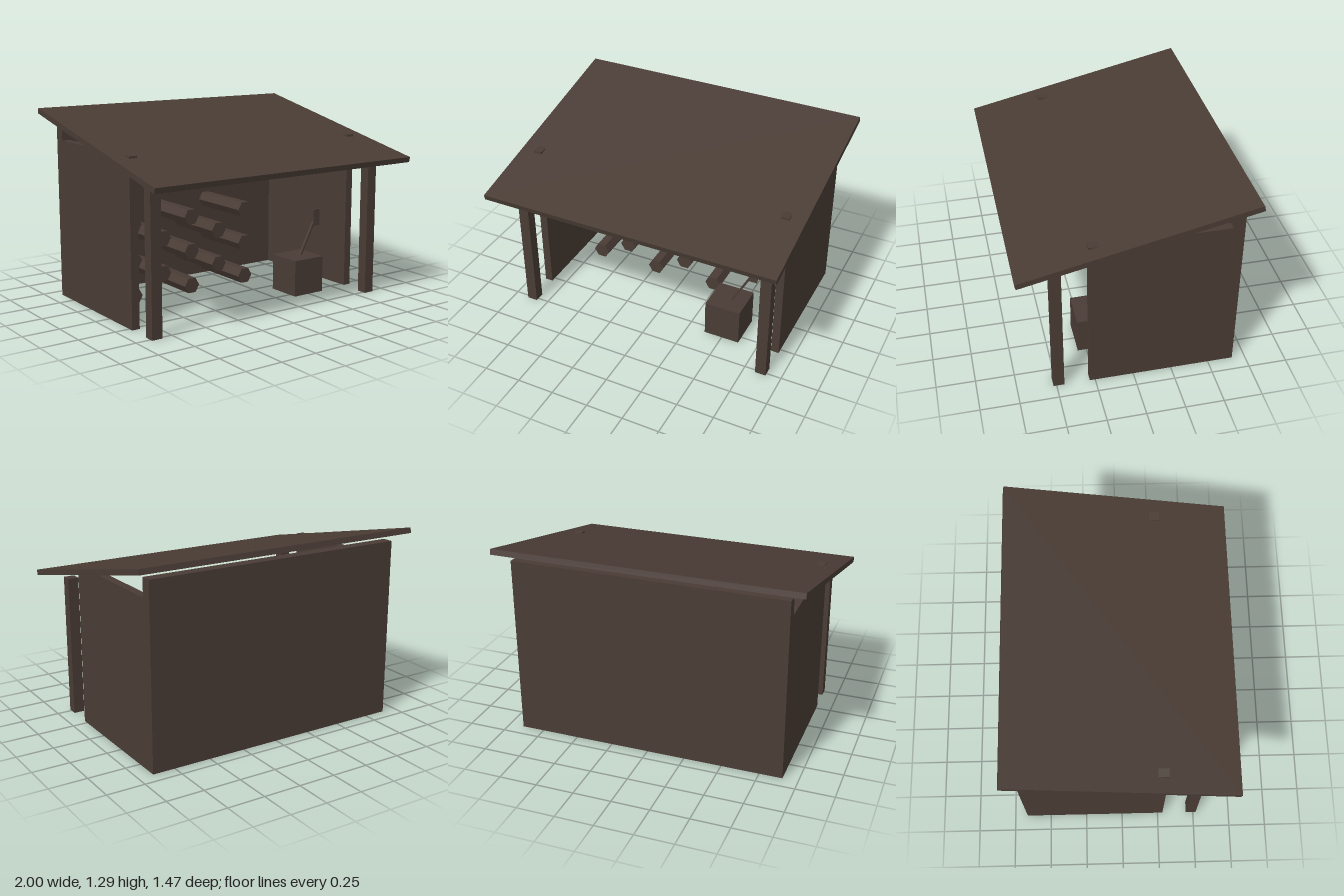
import * as THREE from 'three';

export function createModel() {
  const group = new THREE.Group();
  group.name = 'woodShed';
  const wood = new THREE.MeshStandardMaterial({ color: 0x4a3c35, flatShading: true });
  wood.name = 'dark wood';

  const add = (name, geometry, x, y, z) => {
    const mesh = new THREE.Mesh(geometry, wood);
    mesh.name = name;
    mesh.position.set(x, y, z);
    group.add(mesh);
    return mesh;
  };
  // Box given by its lower and upper corners
  const box = (name, [x0, y0, z0], [x1, y1, z1]) =>
    add(name, new THREE.BoxGeometry(x1 - x0, y1 - y0, z1 - z0),
      (x0 + x1) / 2, (y0 + y1) / 2, (z0 + z1) / 2);

  // Sloping roof, low at the front
  add('roof', new THREE.BoxGeometry(2, 0.036, 1.5), 0, 1.11, 0).rotation.x = 0.218;

  // Back wall, side walls and front posts
  box('backWall', [-0.9, 0, -0.665], [0.9, 1.2, -0.59]);
  for (const [side, s] of [['left', 1], ['right', -1]]) {
    add(side + 'Wall', new THREE.BoxGeometry(0.054, 1.08, 0.875), s * 0.873, 0.54, -0.1525);
    add(side + 'Post', new THREE.BoxGeometry(0.072, 0.95, 0.07), s * 0.864, 0.475, 0.485);
  }

  // Stacked hexagonal logs in staggered rows
  const logGeometry = new THREE.CylinderGeometry(0.058, 0.058, 0.5, 6)
    .rotateY(Math.PI / 6).rotateX(Math.PI / 2);
  for (let row = 0; row < 5; row++) {
    const odd = row % 2;
    for (let i = 0; i < 3 - odd; i++) {
      add('log', logGeometry, -0.65 + odd * 0.225 + i * 0.45, 0.08 + row * 0.12, -0.35);
    }
  }

  // Chopping block with an axe leaning out of it
  box('choppingBlock', [0.375, 0, 0.063], [0.62, 0.25, 0.308]);
  add('axeHandle', new THREE.BoxGeometry(0.014, 0.32, 0.02), 0.582, 0.368, 0.185).rotation.z = -0.48;
  box('axeHead', [0.63, 0.445, 0.177], [0.685, 0.56, 0.193]);

  return group;
}
